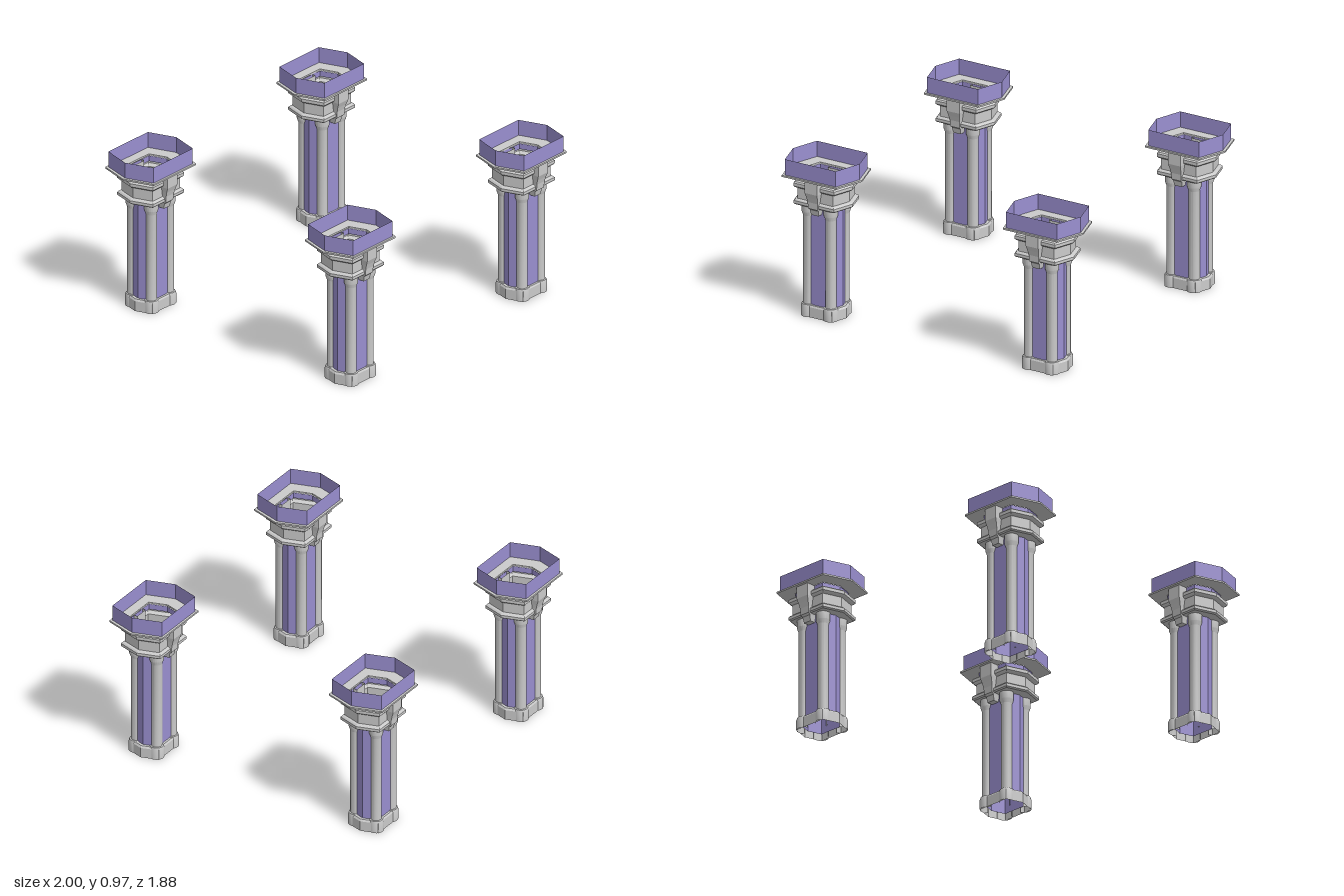
import * as THREE from 'three';
import { toCreasedNormals } from 'three/addons/utils/BufferGeometryUtils.js';

const grey = new THREE.MeshStandardMaterial({ color: 0xcccccc, side: THREE.DoubleSide });
const violet = new THREE.MeshStandardMaterial({ color: 0x9a8fd0, side: THREE.DoubleSide });

// Skin a stack of closed rings of [x, y, z] points with flat-shaded quads
function skin(rings) {
  const pos = [];
  for (let r = 0; r < rings.length - 1; r++) {
    const lo = rings[r], hi = rings[r + 1], n = lo.length;
    for (let i = 0; i < n; i++) {
      const j = (i + 1) % n;
      pos.push(...lo[i], ...hi[i], ...lo[j], ...lo[j], ...hi[i], ...hi[j]);
    }
  }
  const geo = new THREE.BufferGeometry();
  geo.setAttribute('position', new THREE.Float32BufferAttribute(pos, 3));
  geo.computeVertexNormals();
  return geo;
}

// Elongated hexagon of half depth b at height y, with its tips on the x axis
const hexRing = ([b, y]) => [[1.335, 0], [1.02, 1], [-1.02, 1], [-1.335, 0], [-1.02, -1], [1.02, -1]]
  .map(([x, z]) => [x * b, y, z * b]);
const hexLoft = (profile) => skin(profile.map(hexRing));

// Part-round lathe that covers only the outward side of a corner
function cornerLathe(profile) {
  const pts = profile.map(([r, y]) => new THREE.Vector2(r, y));
  const rad = THREE.MathUtils.degToRad;
  return toCreasedNormals(new THREE.LatheGeometry(pts, 12, rad(-70), rad(210)), 0.45);
}

// Bracket levels: [half width, y, front z], running back to the shaft
function bracketGeometry() {
  const back = 0.085;
  const levels = [
    [0.025, 0.645, back], [0.025, 0.645, 0.122], [0.03, 0.68, 0.13], [0.032, 0.69, 0.143],
    [0.034, 0.73, 0.146], [0.038, 0.76, 0.154], [0.043, 0.79, 0.165], [0.043, 0.865, 0.165],
  ];
  return skin(levels.map(([w, y, z]) => [[w, y, back], [w, y, z], [-w, y, z], [-w, y, back]]));
}

export function createModel() {
  const model = new THREE.Group();
  model.name = 'pillars';

  // Hexagonal parts, bottom to top
  const hexParts = [
    ['base', grey, hexLoft([[0.104, 0], [0.104, 0.062], [0.098, 0.073], [0.085, 0.073]])],
    ['shaft', violet, hexLoft([[0.085, 0.03], [0.085, 0.69]])],
    ['capital', grey, hexLoft([
      [0.083, 0.69], [0.128, 0.69], [0.135, 0.697], [0.135, 0.714], [0.128, 0.722], [0.118, 0.725],
      [0.118, 0.79], [0.128, 0.795], [0.135, 0.803], [0.135, 0.822], [0.128, 0.83], [0.107, 0.83],
    ])],
    ['neck', violet, hexLoft([[0.107, 0.83], [0.107, 0.865]])],
    ['topPlate', grey, hexLoft([
      [0.109, 0.865], [0.183, 0.865], [0.183, 0.875], [0.109, 0.875], [0.109, 0.865],
    ])],
    ['topWall', violet, hexLoft([[0.17, 0.875], [0.17, 0.972]])],
  ];

  // Corner column with its foot and flared head
  const cornerParts = [
    ['columnFoot', cornerLathe([[0.044, 0], [0.044, 0.062], [0.04, 0.075], [0.032, 0.077]])],
    ['column', cornerLathe([[0.032, 0.07], [0.032, 0.62], [0.041, 0.645], [0.041, 0.69]])],
  ];
  const bracket = bracketGeometry();

  function addMesh(parent, name, geo, mat) {
    const mesh = new THREE.Mesh(geo, mat);
    mesh.name = name;
    parent.add(mesh);
    return mesh;
  }

  for (const px of [-1, 1]) {
    for (const pz of [-1, 1]) {
      const pillar = new THREE.Group();
      pillar.name = (pz > 0 ? 'front' : 'back') + (px > 0 ? 'Left' : 'Right') + 'Pillar';
      pillar.position.set(px * 0.755, 0, pz * 0.755);
      for (const [name, mat, geo] of hexParts) addMesh(pillar, name, geo, mat);

      // Four mirrored corner columns
      for (const sx of [-1, 1]) {
        for (const sz of [-1, 1]) {
          for (const [name, geo] of cornerParts) {
            const mesh = addMesh(pillar, name, geo, grey);
            mesh.position.set(sx * 0.076, 0, sz * 0.07);
            mesh.scale.set(sx, 1, sz);
          }
        }
      }

      // Brackets on the front and back faces
      for (const turn of [0, Math.PI]) addMesh(pillar, 'bracket', bracket, grey).rotation.y = turn;
      model.add(pillar);
    }
  }
  return model;
}
